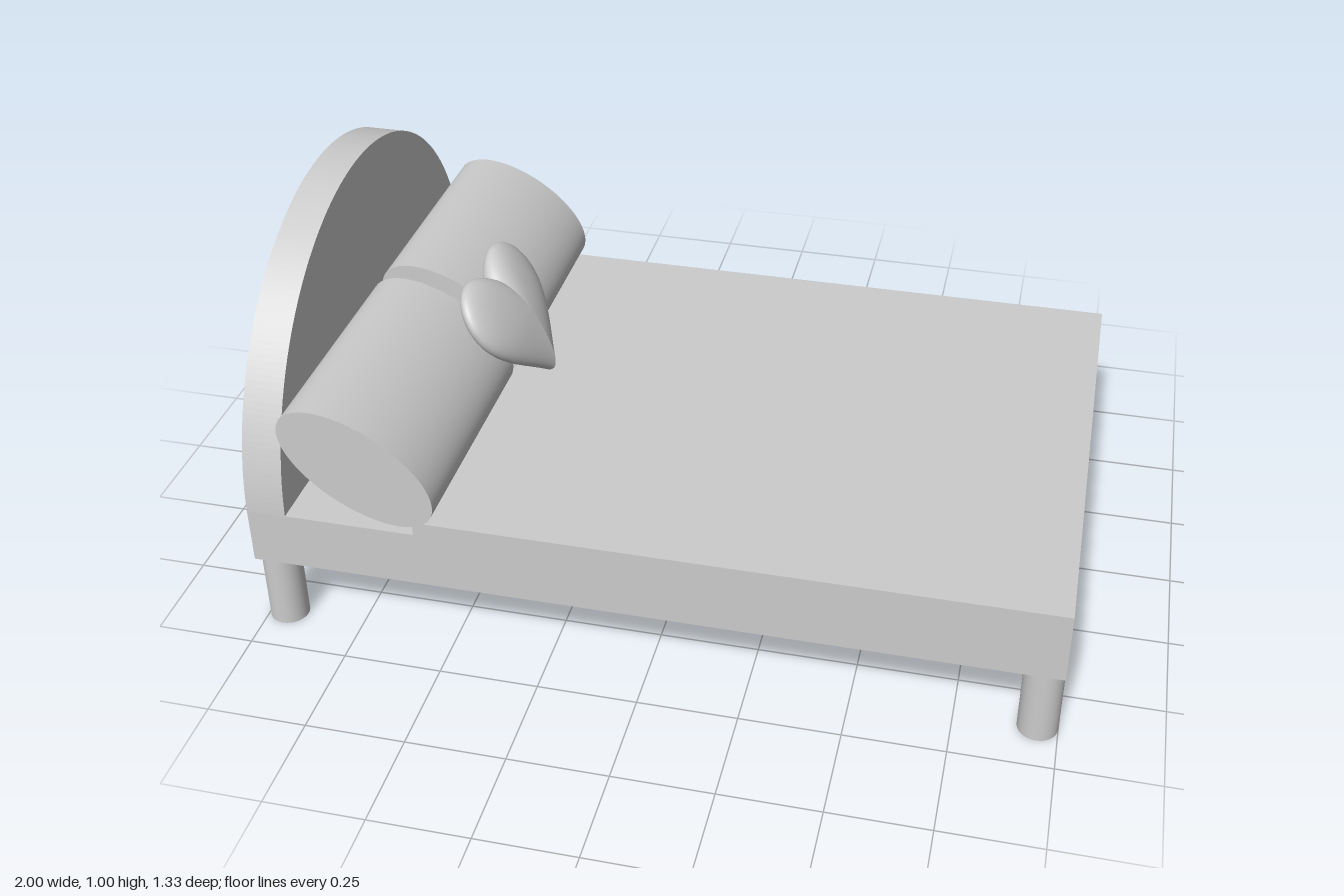
import * as THREE from 'three';

const material = new THREE.MeshStandardMaterial({ color: 0xcccccc });
const HALF_WIDTH = 0.667;

function add(group, name, geometry, x = 0, y = 0, z = 0) {
  const mesh = new THREE.Mesh(geometry, material);
  mesh.name = name;
  mesh.position.set(x, y, z);
  group.add(mesh);
  return mesh;
}

// Arched board: straight sides up to the springing line, then a half circle
function headboardGeometry() {
  const springY = 0.333;
  const shape = new THREE.Shape();
  shape.moveTo(-HALF_WIDTH, 0.2);
  shape.lineTo(HALF_WIDTH, 0.2);
  shape.lineTo(HALF_WIDTH, springY);
  shape.absarc(0, springY, HALF_WIDTH, 0, Math.PI, false);
  shape.closePath();
  const geometry = new THREE.ExtrudeGeometry(shape, { depth: 0.1, bevelEnabled: false, curveSegments: 64 });
  return geometry.rotateY(Math.PI / 2);
}

// Elliptical bolster lying across the bed, leaning back on the headboard
function pillowGeometry(length) {
  return new THREE.CylinderGeometry(1, 1, length, 64)
    .rotateX(Math.PI / 2)
    .scale(0.213, 0.112, 1)
    .rotateZ(-THREE.MathUtils.degToRad(33.5));
}

// One half of a puffed heart: the outline shrinks elliptically towards both faces
function halfHeartGeometry(side) {
  const outline = new THREE.Path();
  outline.moveTo(0, 0.125);
  outline.bezierCurveTo(0.03, 0.155, 0.065, 0.174, 0.1, 0.174);
  outline.bezierCurveTo(0.155, 0.174, 0.2, 0.13, 0.2, 0.07);
  outline.bezierCurveTo(0.2, -0.03, 0.08, -0.1, 0, -0.174);
  const points = outline.getPoints(16);
  const rings = 24, halfThickness = 0.055;
  const positions = [], indices = [];
  for (let i = 0; i <= rings; i++) {
    const angle = -Math.PI / 2 + (Math.PI * i) / rings;
    for (const p of points) {
      positions.push(side * p.x * Math.cos(angle), p.y * Math.cos(angle), halfThickness * Math.sin(angle));
    }
  }
  const n = points.length;
  for (let i = 0; i < rings; i++) {
    for (let j = 0; j < n - 1; j++) {
      const a = i * n + j, b = a + 1, c = a + n, d = c + 1;
      if (side > 0) indices.push(a, c, b, b, c, d);
      else indices.push(a, b, c, b, d, c);
    }
  }
  const geometry = new THREE.BufferGeometry();
  geometry.setAttribute('position', new THREE.Float32BufferAttribute(positions, 3));
  geometry.setIndex(indices);
  geometry.computeVertexNormals();
  return geometry;
}

export function createModel() {
  const bed = new THREE.Group();
  bed.name = 'bed';

  // Frame, and the blanket that stops short of the pillows
  add(bed, 'bedFrame', new THREE.BoxGeometry(2, 0.15, 2 * HALF_WIDTH), 0, 0.275, 0);
  add(bed, 'blanket', new THREE.BoxGeometry(1.57, 0.037, 2 * HALF_WIDTH), 0.215, 0.3685, 0);
  add(bed, 'headboard', headboardGeometry(), -1, 0, 0);

  for (const side of [-1, 1]) {
    // Legs at the corners
    for (const end of [-1, 1]) {
      add(bed, 'leg', new THREE.CylinderGeometry(0.049, 0.049, 0.2, 32), end * 0.951, 0.1, side * (HALF_WIDTH - 0.049));
    }
    // Pillows with a gap between them
    const length = HALF_WIDTH - 0.033;
    add(bed, 'pillow', pillowGeometry(length), -0.702, 0.521, side * (0.033 + length / 2));
  }

  // Heart cushion leaning on the pillows, facing the foot of the bed
  const heart = new THREE.Group();
  heart.name = 'heartCushion';
  add(heart, 'heartHalf', halfHeartGeometry(1));
  add(heart, 'heartHalf', halfHeartGeometry(-1));
  heart.rotation.set(0, Math.PI / 2, THREE.MathUtils.degToRad(32.3), 'ZYX');
  heart.position.set(-0.51, 0.57, 0);
  bed.add(heart);

  return bed;
}
